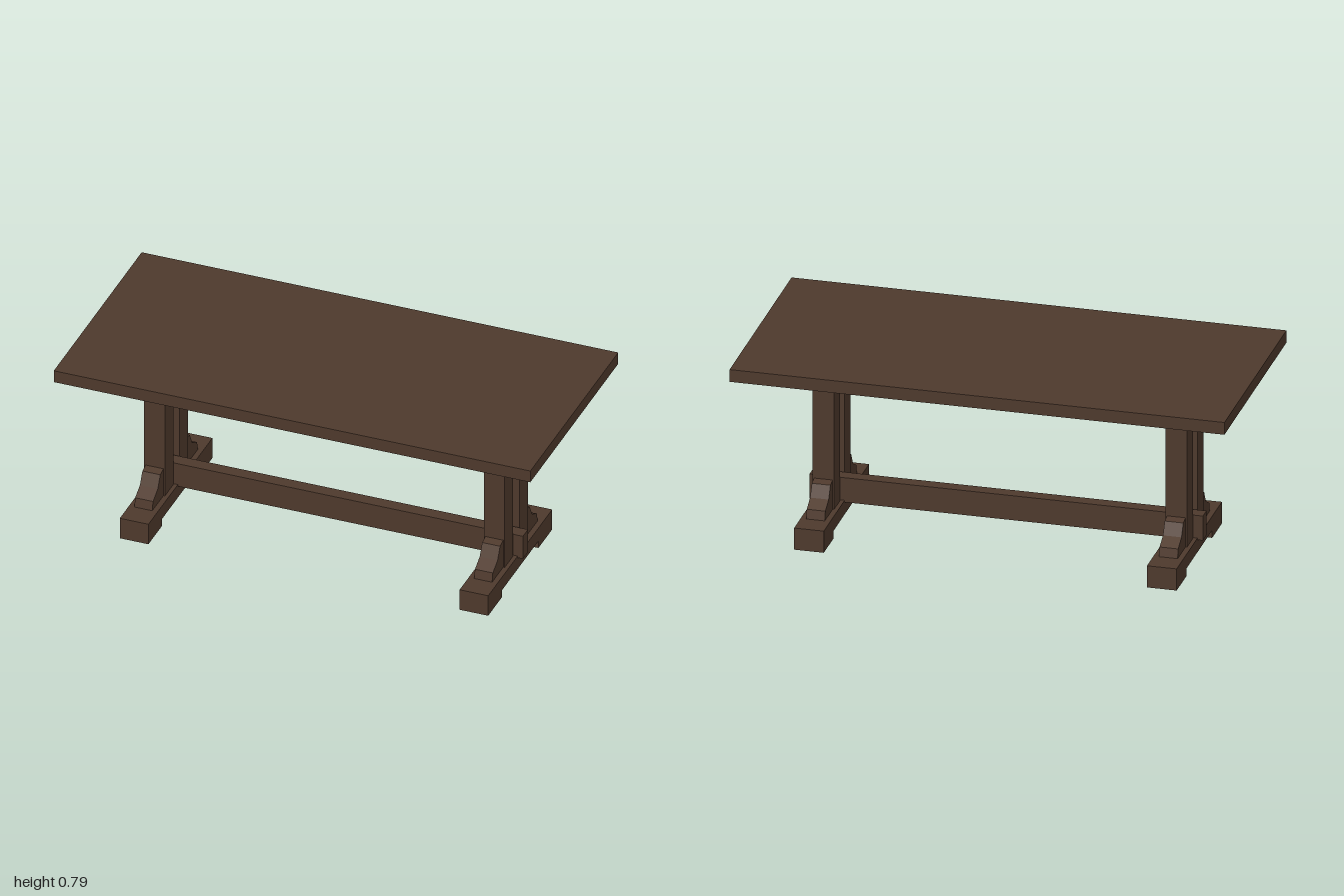
import * as THREE from 'three';

export function createModel() {
  const model = new THREE.Group();
  model.name = 'trestleTable';
  const wood = new THREE.MeshStandardMaterial({ color: 0x4f3a2d });
  wood.name = 'darkWood';

  const add = (parent, name, geometry, x, y, z) => {
    const mesh = new THREE.Mesh(geometry, wood);
    mesh.name = name;
    mesh.position.set(x, y, z);
    parent.add(mesh);
  };

  // Side profile of [z, y] points given thickness along x; side mirrors z
  const profile = (points, width, side = 1) => {
    const shape = new THREE.Shape(points.map(([z, y]) => new THREE.Vector2(-side * z, y)));
    const geometry = new THREE.ExtrudeGeometry(shape, { depth: width, bevelEnabled: false });
    return geometry.translate(0, 0, -width / 2).rotateY(Math.PI / 2);
  };

  // Table top and the stretcher that passes between the posts
  add(model, 'tableTop', new THREE.BoxGeometry(2, 0.052, 0.934), 0, 0.768, 0);
  add(model, 'stretcher', new THREE.BoxGeometry(1.59, 0.104, 0.054), 0, 0.136, 0);

  const footPoints = [
    [-0.34, 0], [-0.194, 0], [-0.194, 0.032], [0.194, 0.032],
    [0.194, 0], [0.34, 0], [0.34, 0.092], [-0.34, 0.092],
  ];
  const upperPoints = [[0.123, 0.742], [0.238, 0.742], [0.204, 0.659], [0.123, 0.627]];
  const lowerPoints = [
    [0.123, 0.092], [0.242, 0.092], [0.234, 0.13], [0.183, 0.158], [0.157, 0.208], [0.123, 0.216],
  ];

  // Trestle at each end
  for (const end of [1, -1]) {
    const trestle = new THREE.Group();
    trestle.name = end > 0 ? 'leftTrestle' : 'rightTrestle';
    trestle.position.x = end * 0.713;
    model.add(trestle);
    add(trestle, 'foot', profile(footPoints, 0.12), 0, 0, 0);

    // Twin posts with a shaped bracket at top and bottom
    for (const side of [1, -1]) {
      const where = side > 0 ? 'front' : 'back';
      add(trestle, where + 'Post', new THREE.BoxGeometry(0.087, 0.65, 0.089), 0, 0.417, side * 0.0785);
      add(trestle, where + 'UpperBracket', profile(upperPoints, 0.075, side), 0, 0, 0);
      add(trestle, where + 'LowerBracket', profile(lowerPoints, 0.075, side), 0, 0, 0);
    }
  }
  return model;
}
